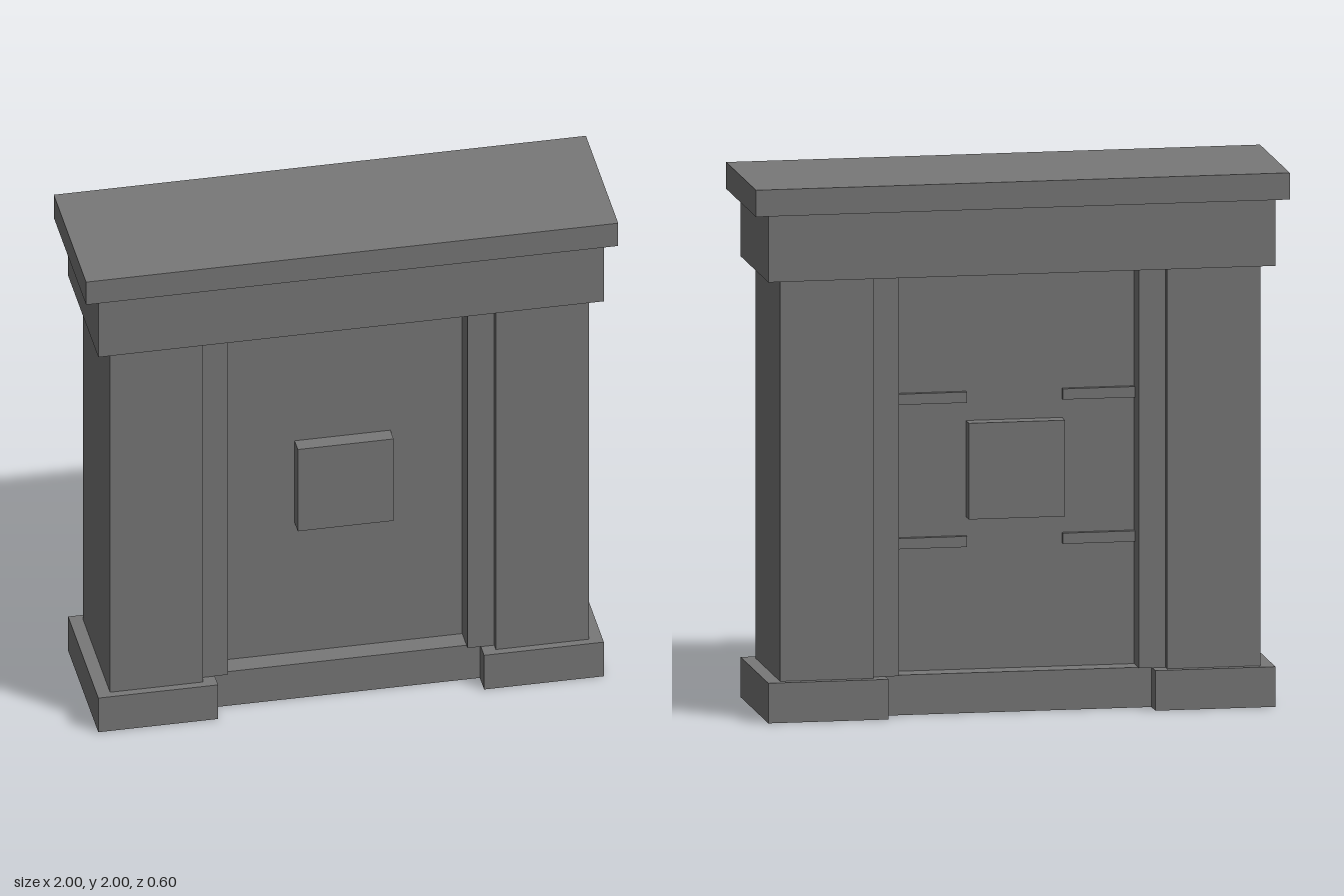
import * as THREE from 'three';

export function createModel() {
  const model = new THREE.Group();
  model.name = 'doorway';
  const stone = new THREE.MeshStandardMaterial({ color: 0x787878 });
  stone.name = 'grey stone';

  // Box given by its min and max on each axis
  const box = (name, [x0, x1], [y0, y1], [z0, z1]) => {
    const mesh = new THREE.Mesh(new THREE.BoxGeometry(x1 - x0, y1 - y0, z1 - z0), stone);
    mesh.name = name;
    mesh.position.set((x0 + x1) / 2, (y0 + y1) / 2, (z0 + z1) / 2);
    model.add(mesh);
  };
  // Same box on the left (+x) and right (-x)
  const pair = (name, [x0, x1], y, z) => {
    box(name + 'Left', [x0, x1], y, z);
    box(name + 'Right', [-x1, -x0], y, z);
  };

  // Top slab and lintel
  box('topSlab', [-1, 1], [1.9, 2], [-0.3, 0.3]);
  box('lintel', [-0.95, 0.95], [1.65, 1.9], [-0.28, 0.28]);

  // Side pillars, plinths and inner jambs
  pair('pillar', [0.55, 0.9], [0.15, 1.65], [-0.25, 0.25]);
  pair('plinth', [0.5, 0.95], [0, 0.15], [-0.28, 0.28]);
  pair('jamb', [0.45, 0.55], [0.15, 1.65], [-0.22, 0.22]);

  // Sill and recessed door panel
  box('sill', [-0.5, 0.5], [0, 0.15], [-0.2, 0.2]);
  box('doorPanel', [-0.45, 0.45], [0.15, 1.65], [-0.12, 0.12]);

  // Square plates on both faces of the door
  box('frontPlate', [-0.18, 0.18], [0.72, 1.08], [0.12, 0.18]);
  box('backPlate', [-0.18, 0.18], [0.72, 1.08], [-0.18, -0.12]);

  // Hinge bars on the back of the door
  for (const y of [0.63, 1.17]) {
    pair('backBar', [0.18, 0.45], [y - 0.02, y + 0.02], [-0.14, -0.12]);
  }
  return model;
}
